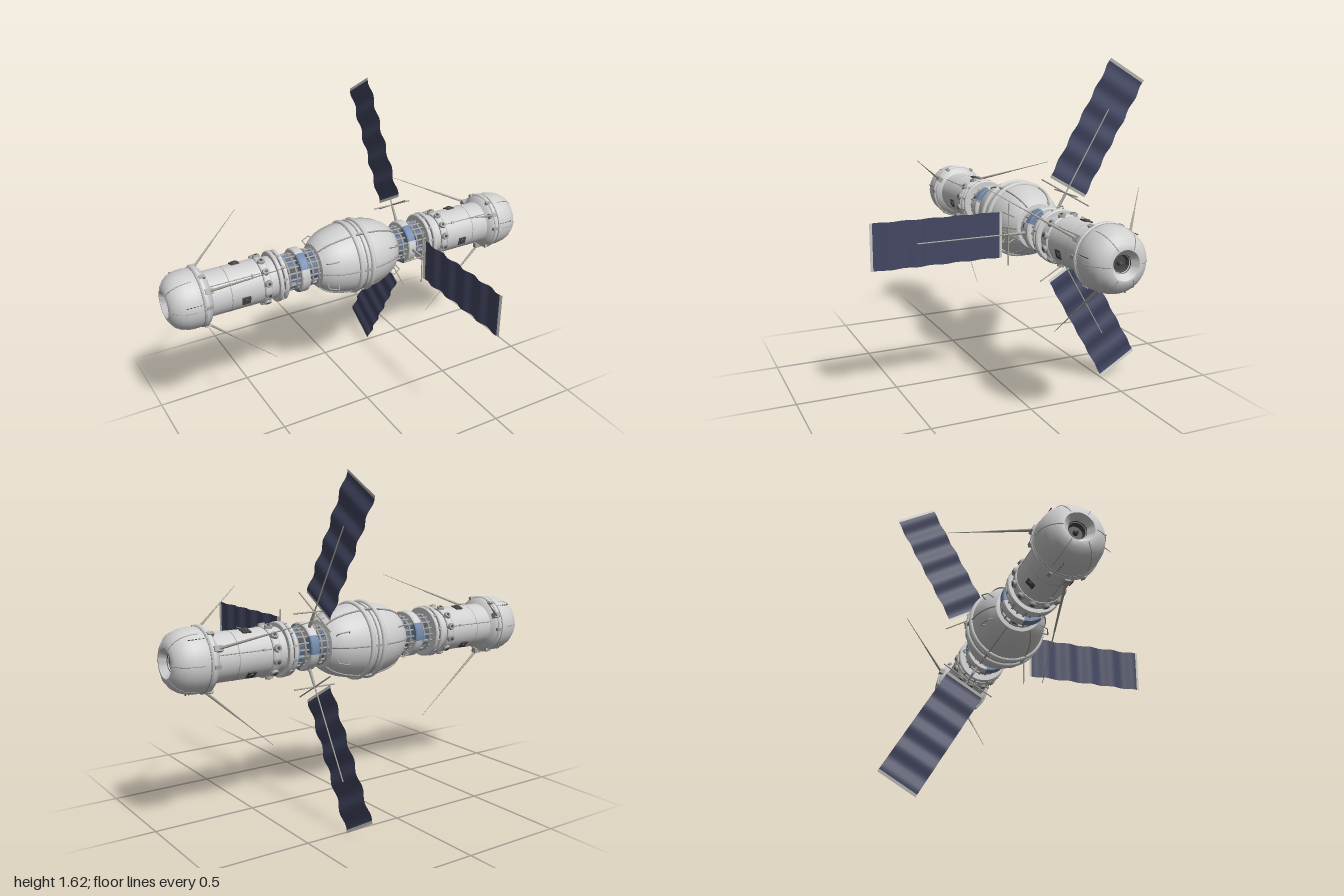
import * as THREE from 'three';
import { toCreasedNormals } from 'three/addons/utils/BufferGeometryUtils.js';

const mat = (name, color, extra = {}) => {
  const m = new THREE.MeshStandardMaterial({ color, ...extra });
  m.name = name;
  return m;
};

export function createModel() {
  const hull = mat('hull grey', 0xd0d0d0);
  const trim = mat('trim grey', 0xa2a2a0);
  const dark = mat('dark fittings', 0x484848);
  const blue = mat('radiator blue', 0x7288aa);
  const core = mat('core blue', 0x5d6e8c);
  const cell = mat('solar cell', 0x434762, { side: THREE.DoubleSide });
  const edge = mat('panel edge', 0xcacac6, { side: THREE.DoubleSide });
  const boom = mat('boom grey', 0xa9a69d);

  const model = new THREE.Group();
  const craft = new THREE.Group();
  craft.name = 'spacecraft';
  craft.position.set(0, 0.81, -0.17);
  model.add(craft);

  const rad = THREE.MathUtils.degToRad;
  // Point around the long axis: 0 degrees is the front, 90 is up
  const polar = (x, deg, r) => new THREE.Vector3(x, r * Math.sin(rad(deg)), r * Math.cos(rad(deg)));
  const add = (name, geo, material, parent = craft) => {
    const mesh = new THREE.Mesh(geo, material);
    mesh.name = name;
    parent.add(mesh);
    return mesh;
  };
  // Turned shape along x from [x, radius] pairs, mirrored when s is -1
  const turned = (name, pts, material, s = 1, mid = 0, width = 360) => {
    let p = pts.map(([x, r]) => new THREE.Vector2(r, x * s));
    if (s < 0) p = p.reverse();
    const segs = Math.max(8, Math.round(width / 7.5));
    const geo = new THREE.LatheGeometry(p, segs, -rad(mid + width / 2), rad(width));
    geo.rotateZ(-Math.PI / 2);
    return add(name, toCreasedNormals(geo, 0.6), material);
  };
  const band = (name, x0, x1, rIn, rOut, material, s, mid, width) => {
    const b = Math.min(0.005, (x1 - x0) / 4);
    return turned(name, [[x0, rIn], [x0, rOut - b], [x0 + b, rOut], [x1 - b, rOut], [x1, rOut - b], [x1, rIn]],
      material, s, mid, width);
  };
  const bar = (name, a, b, r0, r1, material, parent = craft, sides = 8) => {
    const d = b.clone().sub(a);
    const m = add(name, new THREE.CylinderGeometry(r1, r0, d.length(), sides), material, parent);
    m.position.copy(a).addScaledVector(d, 0.5);
    m.quaternion.setFromUnitVectors(new THREE.Vector3(0, 1, 0), d.normalize());
    return m;
  };
  const block = (name, x, deg, r, size, material) => {
    const m = add(name, new THREE.BoxGeometry(...size), material);
    m.position.copy(polar(x, deg, r));
    m.rotation.x = -rad(deg);
    return m;
  };
  const tube = (name, pts, r, material) =>
    add(name, new THREE.TubeGeometry(new THREE.CatmullRomCurve3(pts, false, 'centripetal'), 24, r, 6), material);
  const hoop = (name, x, r, t, material) => {
    const m = add(name, new THREE.TorusGeometry(r, t, 8, 48), material);
    m.rotation.y = Math.PI / 2;
    m.position.x = x;
  };

  // Bulging middle module
  const bulge = [[0.225, 0.07], [0.22, 0.112], [0.2, 0.131], [0.17, 0.149], [0.13, 0.164], [0.085, 0.174],
    [0.04, 0.18], [0, 0.181]];
  turned('middleModule', [...bulge.map(([x, r]) => [-x, r]), ...bulge.slice(0, -1).reverse()], hull);
  for (const x of [-0.033, 0.033]) hoop('middleRim', x, 0.181, 0.013, hull);
  hoop('middleSeam', 0, 0.181, 0.004, trim);
  for (let i = 0; i < 6; i++) {
    block('rimClamp', 0, i * 60, 0.184, [0.08, 0.009, 0.012], trim);
  }

  for (const s of [-1, 1]) {
    // Ribs and grab handles on the middle module
    for (let i = 0; i < 6; i++) {
      tube('middleRib', bulge.slice(1, 7).map(([x, r]) => polar(x * s, i * 60, r + 0.002)), 0.004, trim);
    }
    for (const a of [25, 155, 205, 335]) {
      const pts = [[0.2, 0.13], [0.205, 0.165], [0.16, 0.186], [0.145, 0.158]].map(([x, r]) => polar(x * s, a, r));
      for (let i = 0; i < 3; i++) bar('grabHandle', pts[i], pts[i + 1], 0.003, 0.003, trim);
    }

    // Open lattice neck with its core
    turned('neckCore', [[0.2, 0.07], [0.43, 0.07]], core, s);
    for (let i = 0; i < 18; i++) {
      const a = i * 20;
      bar('neckStringer', polar(0.21 * s, a, 0.09), polar(0.42 * s, a, 0.09), 0.005, 0.005, trim);
      if (i % 3 === 0) block('neckBox', 0.245 * s, a + 10, 0.08, [0.045, 0.02, 0.025], core);
      if (i % 3 === 1) block('neckBox', 0.37 * s, a + 10, 0.08, [0.05, 0.02, 0.025], i % 2 ? dark : blue);
    }
    for (const x of [0.232, 0.265, 0.352, 0.39]) hoop('neckHoop', x * s, 0.092, 0.005, trim);

    // Neck collar of alternating hull and blue segments
    for (const a of [48, 168, 288]) {
      band('radiatorSegment', 0.287, 0.333, 0.07, 0.114, blue, s, a, 46);
      band('collarSegment', 0.287, 0.333, 0.07, 0.115, hull, s, a + 60, 74);
    }

    // Double flange, short barrel and knobbed ring
    band('innerFlange', 0.408, 0.428, 0.06, 0.127, hull, s);
    band('flangeGap', 0.426, 0.438, 0.06, 0.117, dark, s);
    band('outerFlange', 0.436, 0.456, 0.06, 0.13, hull, s);
    band('shortBarrel', 0.45, 0.5, 0.06, 0.106, hull, s);
    band('knobRing', 0.494, 0.532, 0.06, 0.118, hull, s);
    for (let i = 0; i < 12; i++) {
      const a = i * 30 + 15;
      bar('ringKnob', polar(0.513 * s, a, 0.11), polar(0.513 * s, a, 0.128), 0.02, 0.017, trim, craft, 14);
      bar('knobCentre', polar(0.513 * s, a, 0.125), polar(0.513 * s, a, 0.13), 0.008, 0.008, dark);
      block('flangeBolt', 0.432 * s, a, 0.122, [0.03, 0.01, 0.012], trim);
    }

    // Long barrel with hatches, a pipe beside each, and a seam
    turned('longBarrel', [[0.53, 0.1], [0.535, 0.112], [0.83, 0.112]], hull, s);
    hoop('barrelSeam', 0.7 * s, 0.111, 0.002, trim);
    for (const a of [-15, 105, 225]) {
      block('hatch', 0.63 * s, a, 0.11, [0.042, 0.042, 0.014], dark);
      bar('hatchPort', polar(0.63 * s, a, 0.11), polar(0.63 * s, a, 0.122), 0.016, 0.013, dark, craft, 12);
      bar('barrelPipe', polar(0.54 * s, a + 60, 0.112), polar(0.8 * s, a + 60, 0.112), 0.0025, 0.0025, trim);
      block('pipeClip', 0.58 * s, a + 60, 0.113, [0.012, 0.012, 0.008], trim);
    }

    // Rounded end module with a docking recess
    const cap = [[0.795, 0.111], [0.81, 0.135], [0.825, 0.145], [0.88, 0.146], [0.92, 0.142], [0.95, 0.132],
      [0.975, 0.115], [0.992, 0.092], [1, 0.072]];
    turned('endModule', [...cap, [1, 0.066], [0.965, 0.038]], hull, s);
    turned('dockingSocket', [[0.972, 0.042], [0.945, 0.032], [0.945, 0]], dark, s);
    turned('dockingProbe', [[0.94, 0.012], [0.965, 0.01], [0.97, 0]], dark, s);
    band('endCollar', 0.822, 0.846, 0.13, 0.151, hull, s);
    hoop('collarSeam', 0.85 * s, 0.1455, 0.003, trim);
    for (let i = 0; i < 6; i++) {
      tube('endSeam', cap.slice(3).map(([x, r]) => polar(x * s, i * 60, r - 0.0005)), 0.002, trim);
      block('collarLug', 0.825 * s, i * 60 + 4, 0.147, [0.03, 0.016, 0.016], trim);
    }
    for (const a of [0, 120, 240]) {
      for (let i = 0; i < 5; i++) block('endVent', (0.865 + i * 0.016) * s, a + 12, 0.144, [0.009, 0.003, 0.005], dark);
    }

    // Swept whip antennas
    for (const a of [34, 154, 274]) {
      const p0 = polar(0.825 * s, a, 0.14), p1 = polar(0.46 * s, a, 0.46);
      const mid = p0.clone().lerp(p1, 0.5);
      block('antennaMount', 0.815 * s, a, 0.145, [0.04, 0.026, 0.026], trim);
      bar('antennaBase', p0, mid, 0.007, 0.004, boom);
      bar('antennaWhip', mid, p1, 0.003, 0.0012, boom);
    }
  }

  // Three rippled solar wings around the left neck
  const R0 = 0.23, R1 = 0.87, W = 0.22, X = 0.298, STRIP = 0.014;
  const ripple = (z) => X + 0.0065 * Math.sin(((z - R0) / (R1 - R0)) * Math.PI * 10);
  for (const a of [0, 120, 240]) {
    const wing = new THREE.Group();
    wing.name = 'solarWing';
    wing.rotation.x = -rad(a);
    craft.add(wing);
    const sheet = (name, z0, z1, segs, material) => {
      const geo = new THREE.PlaneGeometry(z1 - z0, W, segs, 1).rotateY(Math.PI / 2);
      geo.translate(0, 0, (z0 + z1) / 2);
      const p = geo.attributes.position;
      for (let i = 0; i < p.count; i++) p.setX(i, ripple(p.getZ(i)));
      geo.computeVertexNormals();
      add(name, geo, material, wing);
    };
    sheet('solarSheet', R0 + STRIP, R1 - STRIP, 60, cell);
    sheet('panelEndStrip', R0, R0 + STRIP, 2, edge);
    sheet('panelEndStrip', R1 - STRIP, R1, 2, edge);

    // Boom and crossed spreaders
    const v = (x, y, z) => new THREE.Vector3(x, y, z);
    bar('wingRoot', v(0.31, 0, 0.1), v(0.31, 0, 0.2), 0.008, 0.006, trim, wing);
    bar('wingBoom', v(0.31, 0, 0.19), v(0.31, 0, 0.655), 0.0035, 0.003, boom, wing);
    bar('spreaderAcross', v(0.2, 0, 0.202), v(0.42, 0, 0.202), 0.0035, 0.0035, boom, wing);
    bar('spreaderAlong', v(0.31, -0.15, 0.202), v(0.31, 0.15, 0.202), 0.0035, 0.0035, boom, wing);
  }
  return model;
}
